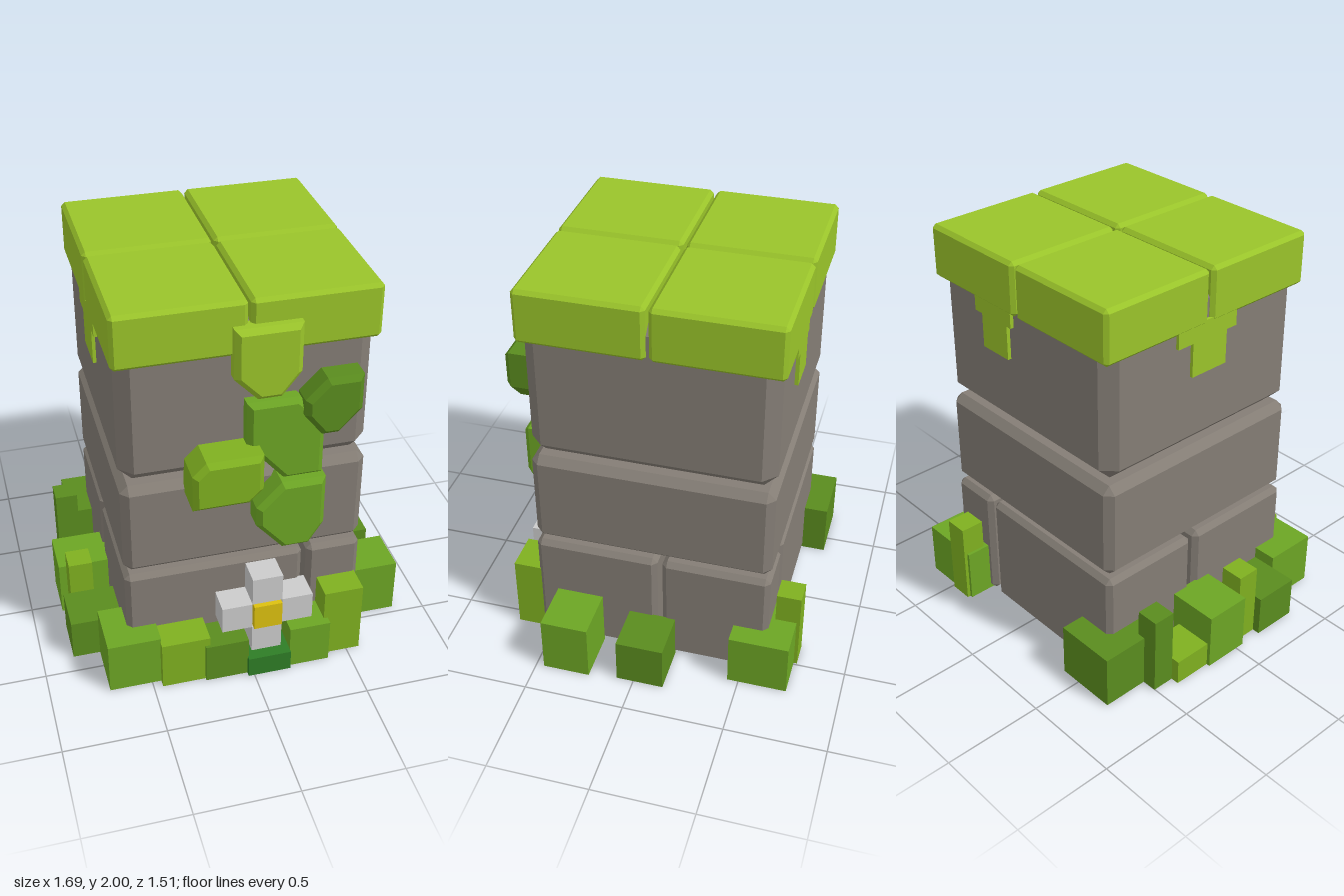
import * as THREE from 'three';
import { ConvexGeometry } from 'three/addons/geometries/ConvexGeometry.js';

const mat = (color) => new THREE.MeshStandardMaterial({ color, flatShading: true });
const M = {
  stone: mat(0x847d75), moss: mat(0x9ac42a), light: mat(0x7fb020), mid: mat(0x6ca524),
  dark: mat(0x5a8c1e), deep: mat(0x2e7d26), petal: mat(0xcccccc), yellow: mat(0xdcc010),
};

export function createModel() {
  const root = new THREE.Group();

  function group(name) {
    const g = new THREE.Group();
    g.name = name;
    root.add(g);
    return g;
  }

  function add(parent, name, geometry, material) {
    const m = new THREE.Mesh(geometry, material);
    m.name = name;
    parent.add(m);
    return m;
  }

  // Plain box given by its limits
  function box(parent, name, [x0, x1], [y0, y1], [z0, z1], material) {
    const m = add(parent, name, new THREE.BoxGeometry(x1 - x0, y1 - y0, z1 - z0), material);
    m.position.set((x0 + x1) / 2, (y0 + y1) / 2, (z0 + z1) / 2);
  }

  // Box with every edge chamfered: three points around each corner
  function chamferBox(parent, name, xs, ys, zs, b, material) {
    const pts = [];
    for (const i of [0, 1]) for (const j of [0, 1]) for (const k of [0, 1]) {
      const c = [xs[i], ys[j], zs[k]];
      const inward = [i, j, k].map((s) => (s ? -b : b));
      for (let axis = 0; axis < 3; axis++) {
        const p = c.map((v, n) => (n === axis ? v : v + inward[n]));
        pts.push(new THREE.Vector3(...p));
      }
    }
    add(parent, name, new ConvexGeometry(pts), material);
  }

  // Stone pillar: two full blocks over a split base course
  const pillar = group('stonePillar');
  chamferBox(pillar, 'upperBlock', [-0.59, 0.585], [1.12, 1.92], [-0.615, 0.56], 0.065, M.stone);
  chamferBox(pillar, 'middleBlock', [-0.59, 0.585], [0.61, 1.1], [-0.615, 0.56], 0.038, M.stone);
  for (const xs of [[-0.59, 0.29], [0.315, 0.585]])
    for (const zs of [[-0.615, -0.08], [-0.055, 0.56]])
      chamferBox(pillar, 'baseBlock', xs, [0, 0.59], zs, 0.025, M.stone);

  // Mossy cap in four slabs
  const cap = group('mossCap');
  for (const xs of [[-0.61, -0.008], [0.005, 0.605]])
    for (const zs of [[-0.64, -0.037], [-0.022, 0.58]])
      chamferBox(cap, 'mossSlab', xs, [1.735, 2], zs, 0.018, M.moss);

  // Moss hanging below the cap on the back and right side
  box(cap, 'backDripTop', [0.04, 0.3], [1.67, 1.76], [-0.633, -0.6], M.moss);
  box(cap, 'backDripTail', [0.07, 0.25], [1.5, 1.67], [-0.633, -0.6], M.moss);
  box(cap, 'sideDripTop', [-0.606, -0.575], [1.67, 1.76], [-0.22, 0.14], M.moss);
  box(cap, 'sideDripTail', [-0.606, -0.575], [1.5, 1.67], [-0.13, 0.08], M.moss);

  // Vine leaves on the front: outline, front depth
  const vine = group('vine');
  const bevel = 0.025;
  const leaves = [
    ['topLeaf', 0.635, M.moss,
      [[-0.08, 1.885], [-0.08, 1.64], [0.03, 1.525], [0.14, 1.525], [0.23, 1.64], [0.23, 1.885]]],
    ['rightLeaf', 0.678, M.dark,
      [[0.235, 1.51], [0.235, 1.43], [0.32, 1.32], [0.4, 1.32], [0.505, 1.43], [0.505, 1.61], [0.335, 1.61]]],
    ['mainLeaf', 0.635, M.mid,
      [[-0.02, 1.51], [-0.02, 1.29], [0.16, 1.08], [0.345, 1.08], [0.345, 1.39], [0.22, 1.51]]],
    ['leftLeaf', 0.735, M.light,
      [[-0.295, 1.23], [-0.295, 1.045], [-0.03, 1.045], [0.035, 1.11], [0.035, 1.295], [-0.23, 1.295]]],
    ['lowerLeaf', 0.68, M.mid,
      [[0.02, 0.96], [0.02, 0.86], [0.15, 0.71], [0.28, 0.71], [0.35, 0.82], [0.35, 1.085], [0.14, 1.085]]],
  ];
  for (const [name, front, material, outline] of leaves) {
    const shape = new THREE.Shape(outline.map(([x, y]) => new THREE.Vector2(x, y)));
    const back = 0.52;
    const geometry = new THREE.ExtrudeGeometry(shape, {
      depth: front - back - 2 * bevel, bevelEnabled: true, bevelSegments: 1,
      bevelSize: bevel, bevelThickness: bevel, bevelOffset: -bevel,
    });
    add(vine, name, geometry, material).position.z = back + bevel;
  }

  // Flower: four cube petals around a yellow centre
  const flower = group('flower');
  const zPetal = [0.55, 0.695];
  box(flower, 'upperPetal', [0, 0.15], [0.41, 0.56], zPetal, M.petal);
  box(flower, 'lowerPetal', [0, 0.15], [0.11, 0.265], zPetal, M.petal);
  box(flower, 'rightPetal', [-0.15, 0], [0.265, 0.41], zPetal, M.petal);
  box(flower, 'leftPetal', [0.15, 0.305], [0.265, 0.41], zPetal, M.petal);
  box(flower, 'flowerCentre', [0.005, 0.145], [0.268, 0.405], [0.55, 0.715], M.yellow);
  box(flower, 'flowerBase', [-0.03, 0.185], [0, 0.11], [0.55, 0.755], M.deep);

  // Bushes around the foot: x range, height, z range, material
  const bushes = group('bushes');
  const bushList = [
    // front
    [[-0.71, -0.45], 0.275, [0.4, 0.675], M.mid],
    [[-0.455, -0.215], 0.26, [0.48, 0.715], M.light],
    [[-0.24, -0.025], 0.215, [0.52, 0.73], M.dark],
    [[0.185, 0.39], 0.235, [0.53, 0.735], M.mid],
    [[0.37, 0.567], 0.39, [0.5, 0.695], M.light],
    // left side
    [[0.58, 0.842], 0.295, [0.225, 0.46], M.mid],
    [[0.58, 0.822], 0.235, [-0.15, 0.085], M.dark],
    // back
    [[0.355, 0.687], 0.275, [-0.74, -0.445], M.mid],
    [[0.37, 0.49], 0.43, [-0.757, -0.635], M.light],
    [[-0.71, -0.395], 0.275, [-0.737, -0.425], M.dark],
    // right side
    [[-0.785, -0.67], 0.41, [-0.502, -0.388], M.dark],
    [[-0.827, -0.63], 0.13, [-0.388, -0.19], M.light],
    [[-0.845, -0.58], 0.295, [-0.19, 0.047], M.mid],
    [[-0.807, -0.688], 0.39, [0.047, 0.165], M.light],
    [[-0.845, -0.58], 0.215, [0.165, 0.4], M.dark],
  ];
  for (const [xs, h, zs, material] of bushList) box(bushes, 'bush', xs, [0, h], zs, material);

  return root;
}
